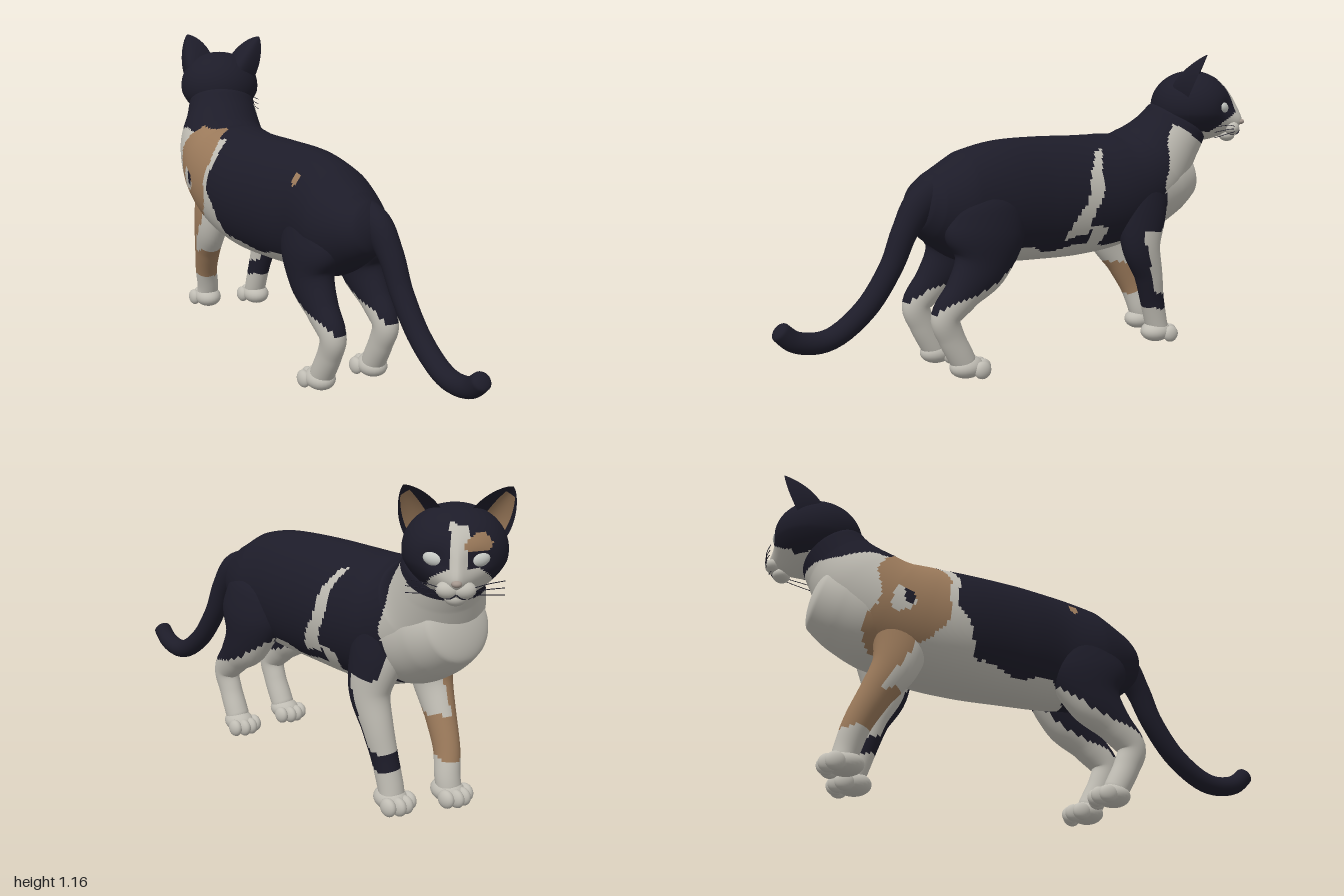
import * as THREE from 'three';

const mat = (name, color) => Object.assign(new THREE.MeshStandardMaterial({ color }), { name });
const black = mat('black fur', 0x1d1c29);
const white = mat('white fur', 0xbfbcb3);
const orange = mat('orange fur', 0x9a795a);
const noseSkin = mat('nose skin', 0xa3968d);
const eyePale = mat('pale eye', 0xc6c9c4);
const orangeSkin = mat('inner ear', 0x9a795a);
orangeSkin.side = THREE.DoubleSide;
const earFur = mat('ear fur', 0x1d1c29);
earFur.side = THREE.DoubleSide;
const fur = [black, white, orange];
const B = 0, W = 1, O = 2;

// Sorts the quads of a surface into coat colours by the position of their centres
function painted(name, geo, rule) {
  const pos = geo.attributes.position, idx = geo.index.array, buckets = [[], [], []];
  const a = new THREE.Vector3(), c = new THREE.Vector3();
  for (let i = 0; i < idx.length; i += 6) {
    const quad = Array.from(idx.slice(i, i + 6));
    c.set(0, 0, 0);
    quad.forEach(k => c.add(a.fromBufferAttribute(pos, k)));
    c.divideScalar(quad.length);
    buckets[rule(c.x, c.y, c.z)].push(...quad);
  }
  geo.setIndex(buckets.flat());
  let start = 0;
  buckets.forEach((b, m) => { if (b.length) geo.addGroup(start, b.length, m); start += b.length; });
  const mesh = new THREE.Mesh(geo, fur);
  mesh.name = name;
  return mesh;
}

// Smooth round-ended skin over oval sections [x, y, z, halfWidth, halfDepth]
function loft(sections, rings, sides, cap = 0.08) {
  const path = new THREE.CatmullRomCurve3(sections.map(s => new THREE.Vector3(s[0], s[1], s[2])));
  const size = new THREE.CatmullRomCurve3(sections.map(s => new THREE.Vector3(s[3], s[4], 0)));
  const pts = [], idx = [];
  for (let i = 0; i <= rings; i++) {
    const t = (1 - Math.cos(Math.PI * i / rings)) / 2;
    const f = Math.min(t / cap, (1 - t) / cap, 1);
    const k = Math.max(Math.sqrt(1 - (1 - f) ** 2), 0.001);
    const c = path.getPoint(t), r = size.getPoint(t), tan = path.getTangent(t);
    const side = new THREE.Vector3(1, 0, 0).addScaledVector(tan, -tan.x).normalize();
    const n = tan.clone().cross(side);
    for (let j = 0; j < sides; j++) {
      const a = j / sides * Math.PI * 2;
      const p = c.clone().addScaledVector(side, Math.cos(a) * r.x * k).addScaledVector(n, Math.sin(a) * r.y * k);
      pts.push(p.x, Math.max(p.y, 0), p.z);
      if (i < rings) {
        const p0 = i * sides + j, p1 = i * sides + (j + 1) % sides;
        idx.push(p0, p1, p0 + sides, p1, p1 + sides, p0 + sides);
      }
    }
  }
  const geo = new THREE.BufferGeometry();
  geo.setAttribute('position', new THREE.Float32BufferAttribute(pts, 3));
  geo.setIndex(idx);
  geo.computeVertexNormals();
  return geo;
}

function ball(name, material, p, s) {
  const m = new THREE.Mesh(new THREE.SphereGeometry(1, 24, 16), material);
  m.name = name;
  m.position.set(...p);
  m.scale.set(...s);
  return m;
}

function line(name, material, points, r) {
  const curve = new THREE.CatmullRomCurve3(points.map(p => new THREE.Vector3(...p)));
  const m = new THREE.Mesh(new THREE.TubeGeometry(curve, 10, r, 5), material);
  m.name = name;
  return m;
}

const spot = (u, v, cu, cv, ru, rv) => ((u - cu) / ru) ** 2 + ((v - cv) / rv) ** 2 < 1;

// Calico coat of the trunk and hind legs
function coat(x, y0, z0) {
  const y = y0 + 0.012 * Math.sin(23 * z0 + 9 * y0), z = z0 + 0.01 * Math.sin(37 * y0 + 11 * z0);
  if (y > 0.7 && spot(x, z0, -0.13, 0.14, 0.014, 0.016)) return O;
  if (z > -0.05) return y < Math.min(0.25 + (0.43 - z) * 0.48, 0.44) ? W : B;
  if (z < -0.55 && y > 0.9 + (z + 0.6) * 0.44) return B;
  if (x > -0.03) {
    if (z < -0.61 - Math.max(0, y - 0.72) * 0.3 || y < 0.43) return W;
    // hooked flank stripe
    const mid = -0.215 - (y - 0.5) * 0.37, half = 0.048 - 0.1 * Math.max(0, y - 0.5);
    if (x > 0.04 && y > 0.47 && y < 0.79 && Math.abs(z - mid) < half) return W;
    return y < 0.5 && z < -0.26 && z > -0.33 ? W : B;
  }
  // right shoulder with its ringed orange patch
  if (x < -0.1) {
    if (spot(z, y, -0.54, 0.63, 0.02, 0.028)) return B;
    if (spot(z, y, -0.56, 0.615, 0.04, 0.05)) return W;
    if (spot(z, y, -0.51, 0.67, 0.13, 0.2) || spot(z, y, -0.58, 0.53, 0.1, 0.08)) return y < 0.84 ? O : B;
  }
  if (z < -0.35 + Math.max(0, 0.62 - y) * 0.5 && y < 0.8) return W;
  return y < 0.44 ? W : B;
}

function frontLegCoat(x, y, z) {
  const w = y + 0.006 * Math.sin(60 * z);
  if (x < 0) {
    if (w > 0.52) return coat(x, y, z);
    return w > 0.16 && (w < 0.3 || (x < -0.13 && z < -0.785 + 0.62 * y)) ? O : W;
  }
  if (y > 0.47) return x < 0.06 ? W : coat(x, y, z);
  if (w > 0.15 && w < 0.215) return B;
  return w > 0.2 && z > -0.62 + 0.3 * y && x > 0.08 ? B : W;
}

function headCoat(x, y0, z) {
  const y = y0 + 0.005 * Math.sin(70 * x);
  if (y < -0.1 && z > -0.05) return W;
  if (z < 0.03) return B;
  if (spot(x, y, 0.065, 0.048, 0.042, 0.026)) return O;
  if (spot(x, y, 0.015, -0.085, 0.1, 0.062)) return W;
  if (x > -0.022 - 0.1 * Math.max(0, -y) && x < 0.036 && y < 0.1) return W;
  return B;
}

function paw(name, x, z) {
  const g = new THREE.Group();
  g.name = name;
  g.add(ball('pawPad', white, [x, 0.042, z + 0.012], [0.055, 0.042, 0.066]));
  [-1.5, -0.5, 0.5, 1.5].forEach(i => {
    const inner = Math.abs(i) < 1;
    g.add(ball('toe', white, [x + i * 0.031, 0.033, z - (inner ? 0.046 : 0.028)], [0.022, 0.033, 0.034]));
  });
  return g;
}

// Curved ear sheet with a rounded tip: u runs across the base, v up to the tip
function ear(name, material, s, bulge, u0, u1, v1) {
  const geo = new THREE.PlaneGeometry(1, 1, 20, 24), p = geo.attributes.position;
  const a = new THREE.Vector3(0.04, 0.118, 0.03), b = new THREE.Vector3(0.158, 0.04, -0.005);
  const across = b.clone().sub(a), mid = a.clone().lerp(b, 0.5), tip = new THREE.Vector3(0.164, 0.206, 0.064);
  for (let i = 0; i < p.count; i++) {
    const u = u0 + (p.getX(i) + 0.5) * (u1 - u0), v = (p.getY(i) + 0.5) * v1;
    const width = (1 - v ** 1.8) ** 0.75;
    const q = mid.clone().lerp(tip, v).addScaledVector(across, (u - 0.5) * width);
    p.setXYZ(i, s * q.x, q.y, q.z - bulge * Math.sin(Math.PI * u) * (1 - v * v) ** 0.9);
  }
  geo.computeVertexNormals();
  const m = new THREE.Mesh(geo, material);
  m.name = name;
  return m;
}

function makeHead() {
  const head = new THREE.Group();
  head.name = 'head';
  // skull with the muzzle drawn forward and the jaw narrowed
  const geo = new THREE.SphereGeometry(1, 96, 72), p = geo.attributes.position;
  for (let i = 0; i < p.count; i++) {
    let x = p.getX(i) * 0.165, y = p.getY(i) * 0.143, z = p.getZ(i) * 0.162;
    if (z > 0) {
      z += 0.058 * Math.exp(-((x / 0.06) ** 2) - ((y + 0.078) / 0.055) ** 2);
      z += 0.018 * Math.exp(-((x / 0.025) ** 2) - ((y + 0.01) / 0.06) ** 2);
      z -= 0.01 * Math.exp(-(((Math.abs(x) - 0.068) / 0.035) ** 2) - ((y + 0.005) / 0.03) ** 2);
    }
    if (y < -0.03) x *= 1 + (y + 0.03) * 1.2;
    p.setXYZ(i, x, y, z);
  }
  geo.computeVertexNormals();
  head.add(painted('skull', geo, headCoat));
  head.add(ball('chin', white, [0, -0.117, 0.15], [0.034, 0.026, 0.032]));
  head.add(ball('nose', noseSkin, [0, -0.062, 0.203], [0.016, 0.011, 0.016]));
  for (const s of [1, -1]) {
    head.add(ball('whiskerPad', white, [s * 0.023, -0.088, 0.17], [0.038, 0.028, 0.03]));
    const eye = ball('eye', eyePale, [s * 0.067, -0.003, 0.13], [0.036, 0.024, 0.021]);
    eye.rotation.set(0, s * 0.4, s * 0.2);
    head.add(eye);
    head.add(ear('earBack', earFur, s, 0.085, 0, 1, 1));
    head.add(ear('earFront', earFur, s, 0.045, 0, 1, 1));
    head.add(ear('innerEar', orangeSkin, s, 0.036, 0.34, 0.9, 0.82));
    head.add(line('mouth', black, [[0, -0.096, 0.2], [s * 0.018, -0.11, 0.193], [s * 0.042, -0.113, 0.165]], 0.002));
    for (let i = 0; i < 3; i++) {
      const y = -0.08 - i * 0.01;
      head.add(line('whisker', black, [[s * 0.045, y, 0.185], [s * 0.09, y + 0.008 - i * 0.006, 0.16],
        [s * 0.15, y + 0.005 - i * 0.012, 0.1]], 0.0014));
    }
  }
  head.position.set(0.045, 0.95, -0.82);
  head.rotation.y = 2.39;
  return head;
}

export function createModel() {
  const cat = new THREE.Group();
  cat.name = 'cat';
  // trunk flowing from the rump through the chest and up the neck
  cat.add(painted('torsoAndNeck', loft([
    [0.015, 0.64, 0.45, 0.06, 0.065], [0.0, 0.625, 0.38, 0.118, 0.125], [-0.01, 0.612, 0.25, 0.162, 0.202],
    [-0.012, 0.617, 0.08, 0.162, 0.23], [-0.035, 0.612, -0.1, 0.18, 0.238], [-0.05, 0.607, -0.3, 0.2, 0.238],
    [-0.045, 0.618, -0.44, 0.205, 0.232], [-0.037, 0.656, -0.56, 0.2, 0.212], [-0.022, 0.73, -0.656, 0.184, 0.18],
    [0.01, 0.828, -0.727, 0.152, 0.14], [0.037, 0.94, -0.79, 0.128, 0.118]], 220, 120, 0.05), coat));
  // breastbone filling the chest between the shoulders
  cat.add(painted('chest', loft([
    [-0.04, 0.61, -0.4, 0.18, 0.2], [-0.03, 0.63, -0.58, 0.185, 0.2], [-0.012, 0.665, -0.72, 0.16, 0.165],
    [0.0, 0.7, -0.83, 0.11, 0.11]], 60, 64, 0.1), coat));
  cat.add(makeHead());

  // tail flowing out of the rump and curling up at the tip
  cat.add(painted('tail', loft([
    [0.015, 0.68, 0.31, 0.05, 0.06], [0.03, 0.64, 0.42, 0.052, 0.062], [0.043, 0.55, 0.493, 0.045, 0.048],
    [0.05, 0.43, 0.552, 0.041, 0.042], [0.058, 0.29, 0.66, 0.04, 0.04], [0.064, 0.205, 0.8, 0.039, 0.038],
    [0.066, 0.215, 0.915, 0.038, 0.037], [0.067, 0.27, 0.982, 0.036, 0.034]], 60, 24, 0.03), () => B));

  for (const s of [1, -1]) {
    const side = s < 0 ? 'right' : 'left';
    cat.add(painted(side + 'HindLeg', loft([
      [s * 0.075, 0.69, 0.2, 0.07, 0.13], [s * 0.101, 0.525, 0.2, 0.087, 0.163], [s * 0.112, 0.41, 0.225, 0.074, 0.115],
      [s * 0.116, 0.315, 0.305, 0.057, 0.07], [s * 0.114, 0.235, 0.372, 0.047, 0.056],
      [s * 0.112, 0.16, 0.35, 0.043, 0.05], [s * 0.113, 0.09, 0.315, 0.045, 0.048],
      [s * 0.114, 0.035, 0.285, 0.045, 0.045]], 70, 36), coat));
    cat.add(paw(side + 'HindPaw', s * 0.115, 0.276));

    // the -x foreleg stands a little further forward and wider at the shoulder
    const f = s < 0 ? -0.075 : 0, w = s < 0 ? 0.03 : 0;
    cat.add(painted(side + 'ForeLeg', loft([
      [s * (0.07 + w), 0.68, -0.565, 0.078, 0.118], [s * (0.1 + w), 0.54, -0.53, 0.075, 0.11],
      [s * (0.117 + w), 0.41, -0.515 + f * 0.4, 0.063, 0.085], [s * (0.115 + w * 0.6), 0.29, -0.555 + f * 0.7, 0.052, 0.06],
      [s * (0.105 + w * 0.4), 0.18, -0.585 + f, 0.045, 0.05], [s * 0.1, 0.09, -0.61 + f, 0.045, 0.046],
      [s * 0.1, 0.035, -0.625 + f, 0.045, 0.042]], 70, 36), frontLegCoat));
    cat.add(paw(side + 'ForePaw', s * 0.1, -0.625 + f));
  }
  return cat;
}
